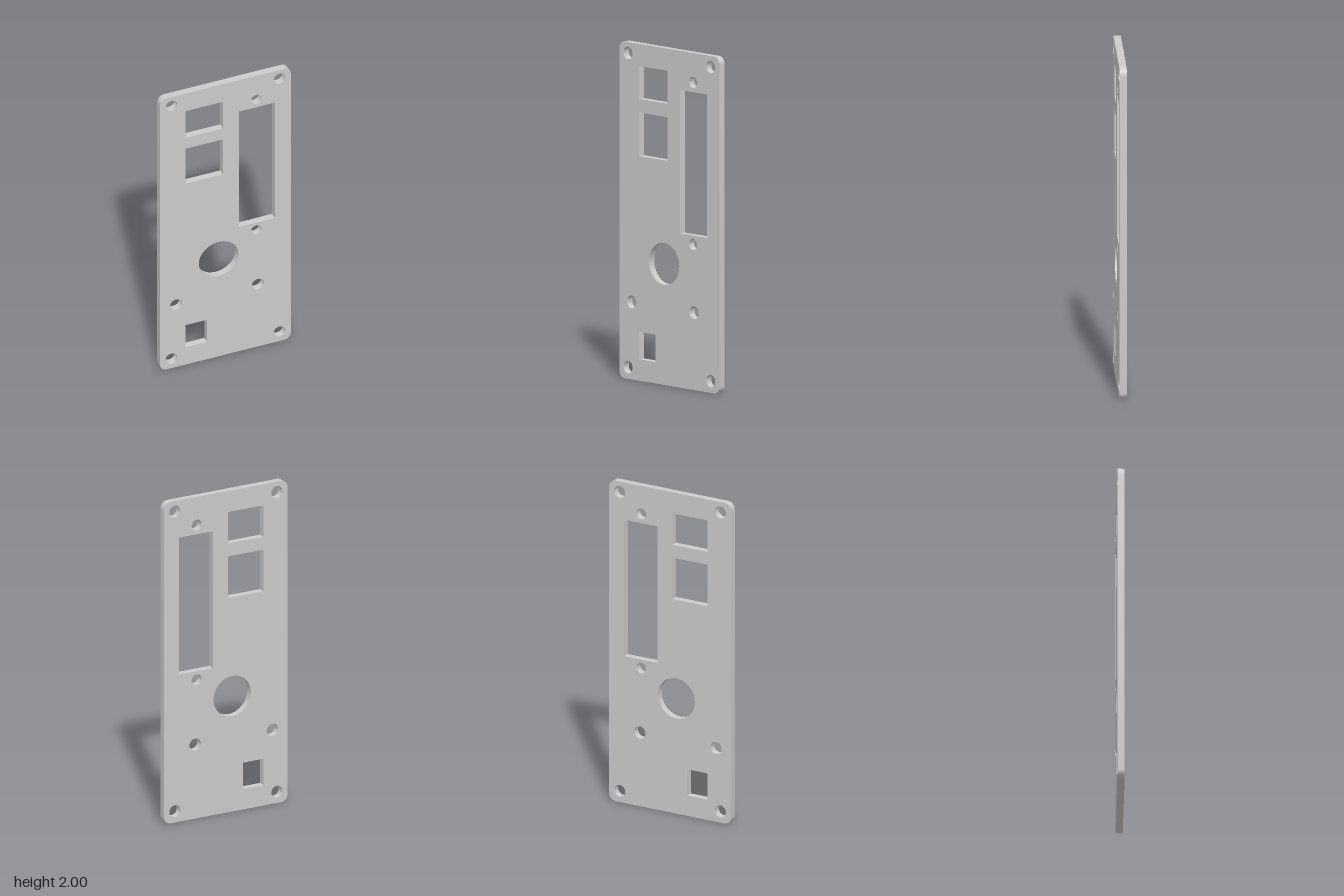
import * as THREE from 'three';
import { toCreasedNormals } from 'three/addons/utils/BufferGeometryUtils.js';

const HALF_WIDTH = 0.414, HEIGHT = 2, THICKNESS = 0.043, CORNER = 0.045;

// Rectangular cut-outs: left, bottom, right, top
const windows = [
  [-0.253, 1.673, -0.015, 1.869], // upper window
  [-0.253, 1.334, -0.015, 1.593], // lower window
  [0.086, 0.916, 0.313, 1.768],   // tall slot
  [-0.253, 0.127, -0.115, 0.291], // small window
];

// Round holes: x, y, radius
const holes = [
  [-0.342, 0.07, 0.037], [0.342, 0.07, 0.037],   // corner screws
  [-0.342, 1.935, 0.037], [0.342, 1.935, 0.037],
  [0.196, 1.826, 0.033], [0.196, 0.863, 0.033],  // slot screws
  [-0.312, 0.46, 0.038], [0.205, 0.46, 0.038],   // lower pair
  [-0.043, 0.719, 0.125],                        // large opening
];

function rectPath([x0, y0, x1, y1]) {
  return new THREE.Path([[x0, y0], [x0, y1], [x1, y1], [x1, y0]].map(p => new THREE.Vector2(...p)));
}

function circlePath([x, y, r]) {
  return new THREE.Path().absarc(x, y, r, 0, Math.PI * 2, true);
}

// Plate outline with rounded corners
function plateOutline() {
  const w = HALF_WIDTH - CORNER, top = HEIGHT - CORNER, q = Math.PI / 2;
  const s = new THREE.Shape();
  s.absarc(w, CORNER, CORNER, -q, 0);
  s.absarc(w, top, CORNER, 0, q);
  s.absarc(-w, top, CORNER, q, 2 * q);
  s.absarc(-w, CORNER, CORNER, 2 * q, 3 * q);
  s.closePath();
  return s;
}

export function createModel() {
  const group = new THREE.Group();
  group.name = 'panel';

  const shape = plateOutline();
  shape.holes.push(...windows.map(rectPath), ...holes.map(circlePath));

  const geometry = new THREE.ExtrudeGeometry(shape, { depth: THICKNESS, bevelEnabled: false, curveSegments: 24 });
  geometry.translate(0, 0, -THICKNESS / 2);

  const plate = new THREE.Mesh(
    toCreasedNormals(geometry, Math.PI / 6),
    new THREE.MeshStandardMaterial({ color: 0xcccccc })
  );
  plate.name = 'facePlate';
  group.add(plate);
  return group;
}
